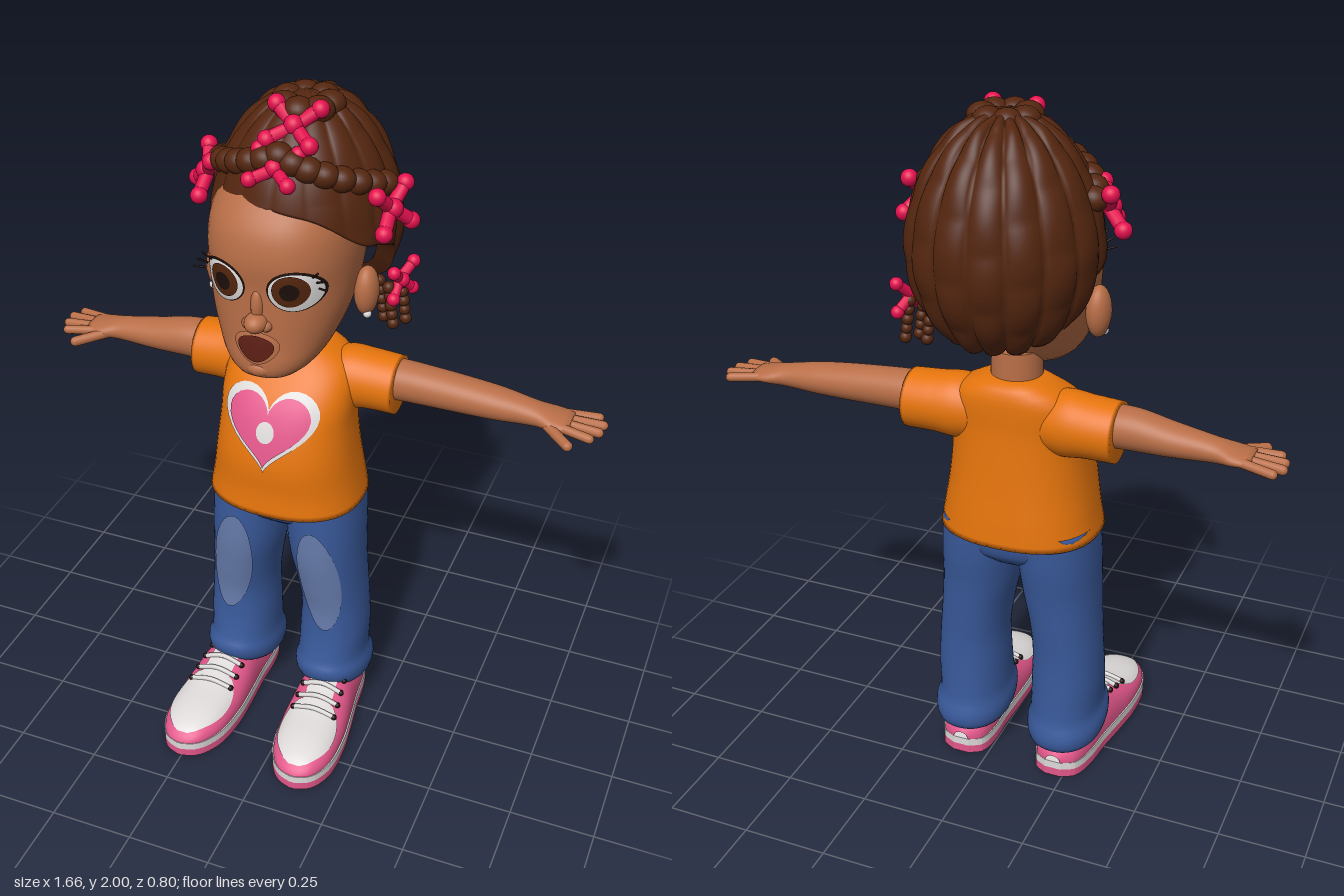
import * as THREE from 'three';
import { mergeVertices } from 'three/addons/utils/BufferGeometryUtils.js';

const paint = (name, color) => new THREE.MeshStandardMaterial({ name, color });

// Smooth interpolation of table rows keyed by their first column
function mix(rows, t) {
  const n = rows.length;
  let i = 0;
  while (i < n - 2 && t > rows[i + 1][0]) i++;
  const a = rows[i], b = rows[i + 1], h = b[0] - a[0];
  const u = Math.min(1, Math.max(0, (t - a[0]) / h));
  const p = rows[Math.max(0, i - 1)], q = rows[Math.min(n - 1, i + 2)];
  return a.map((_, k) => {
    const m0 = (b[k] - p[k]) / (b[0] - p[0]) * h, m1 = (q[k] - a[k]) / (q[0] - a[0]) * h;
    const u2 = u * u, u3 = u2 * u;
    return (2 * u3 - 3 * u2 + 1) * a[k] + (u3 - 2 * u2 + u) * m0 + (3 * u2 - 2 * u3) * b[k] + (u3 - u2) * m1;
  });
}

// Grid surface from fn(u, v); the outside is on the side of du x dv
function surface(fn, nu, nv) {
  const pos = [], index = [];
  for (let j = 0; j <= nv; j++) for (let i = 0; i <= nu; i++) pos.push(...fn(i / nu, j / nv));
  for (let j = 0; j < nv; j++) for (let i = 0; i < nu; i++) {
    const a = j * (nu + 1) + i, d = a + nu + 1;
    index.push(a, a + 1, d + 1, a, d + 1, d);
  }
  let g = new THREE.BufferGeometry();
  g.setAttribute('position', new THREE.Float32BufferAttribute(pos, 3));
  g.setIndex(index);
  g = mergeVertices(g, 1e-5);
  g.computeVertexNormals();
  return g;
}

const spow = (v, n) => Math.sign(v) * Math.abs(v) ** (2 / n);

// Capped stack of rounded sections, rows are [y, centreX, centreZ, radiusX, radiusZ]
function loft(rows, n = 2, steps = 30) {
  const y0 = rows[0][0], y1 = rows[rows.length - 1][0], nv = steps + 2;
  return surface((u, v) => {
    const j = Math.round(v * nv), k = j === 0 || j === nv ? 0 : 1;
    const f = Math.min(1, Math.max(0, (j - 1) / steps));
    const [y, cx, cz, rx, rz] = mix(rows, y0 + (y1 - y0) * f), t = u * Math.PI * 2;
    return [cx + k * rx * spow(Math.sin(t), n), y, cz + k * rz * spow(Math.cos(t), n)];
  }, 48, nv);
}
const frontZ = (rows, n, x, y) => {
  const [, cx, cz, rx, rz] = mix(rows, y);
  const t = Math.min(0.98, Math.abs(x - cx) / rx);
  return cz + rz * (1 - t ** n) ** (1 / n);
};

// Thin painted patch lying on the front of a loft
function patch(rows, n, cx, cy, outline, lift, bulge = 0) {
  return surface((u, v) => {
    const [ox, oy] = outline(u * Math.PI * 2), x = cx + ox * v, y = cy + oy * v;
    return [x, y, frontZ(rows, n, x, y) + lift + bulge * (1 - v * v)];
  }, 48, 10);
}
const oval = (a, b, lean = 0) => t => [a * Math.sin(t) + lean * Math.cos(t), b * Math.cos(t)];
const heart = k => t => [k * 0.0089 * 16 * Math.sin(t) ** 3,
  k * 0.0081 * (13 * Math.cos(t) - 5 * Math.cos(2 * t) - 2 * Math.cos(3 * t) - Math.cos(4 * t))];
const ball = (x, y, z, a, b = a, c = a) => new THREE.SphereGeometry(1, 20, 14).scale(a, b, c).translate(x, y, z);
function rod(p, q, r) {
  const a = new THREE.Vector3(...p), b = new THREE.Vector3(...q), d = b.clone().sub(a);
  const turn = new THREE.Quaternion().setFromUnitVectors(new THREE.Vector3(0, 1, 0), d.clone().normalize());
  const mid = a.add(b).multiplyScalar(0.5);
  return new THREE.CapsuleGeometry(r, d.length(), 5, 10).applyQuaternion(turn).translate(mid.x, mid.y, mid.z);
}

const torso = [[0.785, 0, -0.055, 0.232, 0.196], [0.85, 0, -0.055, 0.22, 0.19], [0.95, 0, -0.05, 0.205, 0.184],
  [1.05, 0, -0.057, 0.195, 0.168], [1.12, 0, -0.07, 0.195, 0.15], [1.18, 0, -0.092, 0.188, 0.128],
  [1.22, 0, -0.11, 0.165, 0.108], [1.25, 0, -0.12, 0.115, 0.088], [1.265, 0, -0.12, 0.08, 0.075]];
const leg = [[0.09, 0.15, -0.06, 0.1, 0.12], [0.11, 0.15, -0.058, 0.112, 0.145], [0.15, 0.15, -0.055, 0.115, 0.152],
  [0.19, 0.148, -0.055, 0.105, 0.138], [0.3, 0.15, -0.06, 0.104, 0.125], [0.4, 0.148, -0.062, 0.1, 0.122],
  [0.5, 0.138, -0.058, 0.102, 0.132], [0.6, 0.125, -0.055, 0.11, 0.142], [0.7, 0.118, -0.06, 0.114, 0.15],
  [0.82, 0.112, -0.065, 0.112, 0.152]];
const head = [[1.262, 0, 0.07, 0.05, 0.06], [1.275, 0, 0.06, 0.09, 0.108], [1.31, 0, 0.03, 0.13, 0.148],
  [1.37, 0, 0, 0.162, 0.172], [1.45, 0, -0.03, 0.188, 0.2], [1.53, 0, -0.05, 0.2, 0.22],
  [1.62, 0, -0.06, 0.205, 0.236], [1.7, 0, -0.07, 0.195, 0.225], [1.78, 0, -0.09, 0.16, 0.18], [1.86, 0, -0.1, 0.08, 0.1]];
// Shoe rows are [z, half width, top height]
const shoe = [[-0.187, 0.025, 0.07], [-0.165, 0.062, 0.1], [-0.1, 0.082, 0.13], [0, 0.088, 0.155], [0.06, 0.094, 0.165],
  [0.12, 0.1, 0.145], [0.2, 0.105, 0.122], [0.3, 0.097, 0.105], [0.36, 0.072, 0.086], [0.39, 0.042, 0.064], [0.402, 0.008, 0.046]];
const shoeX = z => 0.15 + 0.06 * (z + 0.187);
const shoePoint = (a, z, lift = 0) => {
  const [, w, h] = mix(shoe, z);
  return [shoeX(z) + w * 0.96 * Math.cos(a), 0.042 + (h - 0.042) * Math.max(0, Math.sin(a)) ** 0.7 + lift, z];
};
// Hairline: angle from the front against angle down from the crown
const hairline = [[0, 1.27], [0.5, 1.36], [0.95, 1.58], [1.3, 1.68], [1.57, 1.8], [1.8, 2.12], [2.1, 2.4], [3.15, 2.56]];
function hairPoint(t, f, k = 1) {
  const c = Math.cos(f), s = Math.sin(f);
  return [0.022 + k * 0.262 * (1 - 0.09 * Math.max(0, c)) * s * Math.sin(t),
    1.64 + k * (c > 0 ? 0.35 : 0.315) * c, -0.13 + k * 0.268 * s * Math.cos(t)];
}

export function createModel() {
  const skin = paint('skin', 0xb86e47), brown = paint('hair brown', 0x54260f), orange = paint('shirt orange', 0xe5740c);
  const denim = paint('denim blue', 0x39599a), faded = paint('faded denim', 0x667bab), pink = paint('pink', 0xe2578a);
  const white = paint('white', 0xdedada), magenta = paint('bow magenta', 0xe4104f);
  const dark = paint('dark', 0x1c0f0a), red = paint('mouth red', 0x5c1e14);
  const model = new THREE.Group(), body = new THREE.Group();
  body.name = 'body';
  body.position.x = -0.07;
  model.add(body);
  function add(name, geo, mat, s = 1) {
    if (s < 0) {
      geo.scale(-1, 1, 1);
      const ix = geo.index.array;
      for (let i = 0; i < ix.length; i += 3) [ix[i], ix[i + 1]] = [ix[i + 1], ix[i]];
    }
    const mesh = new THREE.Mesh(geo, mat);
    mesh.name = name;
    body.add(mesh);
    return mesh;
  }

  // Shirt with heart
  add('shirt', loft(torso, 2.4), orange);
  add('heartBorder', patch(torso, 2.4, -0.005, 1.073, heart(1), 0.004), white);
  add('heart', patch(torso, 2.4, -0.005, 1.071, heart(0.86), 0.008), pink);
  add('heartDot', patch(torso, 2.4, -0.005, 1.06, oval(0.027, 0.03), 0.011), white);

  // Head and face
  add('neck', new THREE.CylinderGeometry(0.07, 0.074, 0.16, 32).translate(0, 1.26, -0.105), skin);
  add('head', loft(head, 2.3, 40), skin);
  add('nose', ball(0, 1.445, 0.172, 0.032, 0.028, 0.04), skin);
  add('noseBridge', ball(0, 1.49, 0.155, 0.02, 0.055, 0.028), skin);
  add('chin', ball(0, 1.3, 0.135, 0.05, 0.032, 0.05), skin);
  const mouth = k => t => [k * 0.05 * Math.sin(t) * (1 + 0.25 * Math.cos(t)), k * 0.038 * Math.cos(t)];
  add('lips', patch(head, 2.3, 0, 1.37, mouth(1.25), 0.004, 0.006), skin);
  add('mouth', patch(head, 2.3, 0, 1.37, mouth(1), 0.01, 0.003), red);

  for (const s of [1, -1]) {
    // Eyes, lashes and ears
    add('eyeRim', patch(head, 2.3, 0.1, 1.545, oval(0.07, 0.059), 0.003, 0.006), dark, s);
    add('eyeWhite', patch(head, 2.3, 0.1, 1.543, oval(0.065, 0.054), 0.005, 0.009), white, s);
    add('iris', patch(head, 2.3, 0.093, 1.55, oval(0.046, 0.046), 0.012, 0.005), brown, s);
    add('pupil', patch(head, 2.3, 0.093, 1.55, oval(0.024, 0.025), 0.018), dark, s);
    for (const a of [0.2, 0.5, 0.8]) {
      const c = Math.cos(a), n = Math.sin(a);
      add('eyelash', rod([0.1 + 0.062 * c, 1.545 + 0.055 * n, 0.13], [0.1 + 0.088 * c, 1.545 + 0.085 * n, 0.145], 0.003), dark, s);
    }
    add('nostril', ball(0.025, 1.437, 0.165, 0.018, 0.017, 0.022), skin, s);
    add('ear', ball(0.218, 1.46, -0.075, 0.034, 0.072, 0.045), skin, s);
    add('earring', ball(0.228, 1.4, -0.055, 0.012), white, s);

    // Sleeve, arm and hand; the left arm is longer
    const toX = g => g.rotateZ(-Math.PI / 2), w = s > 0 ? 0.7 : 0.57;
    add('sleeve', toX(loft([[0.05, -1.14, -0.11, 0.07, 0.08], [0.15, -1.148, -0.125, 0.094, 0.09],
      [0.22, -1.15, -0.13, 0.088, 0.088], [0.305, -1.147, -0.13, 0.085, 0.086]])), orange, s);
    add('arm', toX(loft([[0.25, -1.165, -0.13, 0.06, 0.062], [0.35, -1.165, -0.13, 0.058, 0.06],
      [w - 0.12, -1.155, -0.13, 0.047, 0.054], [w, -1.147, -0.13, 0.033, 0.044],
      [w + 0.05, -1.143, -0.13, 0.024, 0.056], [w + 0.1, -1.14, -0.13, 0.016, 0.052]])), skin, s);
    for (const [tip, z0, z1] of [[0.165, -0.168, -0.19], [0.184, -0.143, -0.155], [0.18, -0.117, -0.115], [0.162, -0.093, -0.076]])
      add('finger', rod([w + 0.07, 1.142, z0], [w + tip - 0.003, 1.135, z1], 0.0135), skin, s);
    add('thumb', rod([w + 0.03, 1.14, -0.1], [w + 0.11, 1.128, -0.032], 0.015), skin, s);

    // Trouser leg with a hem that dips at the back, and a faded knee
    const trouser = loft(leg, 2.2, 44), p = trouser.attributes.position;
    for (let i = 0; i < p.count; i++) {
      const k = Math.max(0, Math.min(1, (0.3 - p.getY(i)) / 0.15));
      p.setY(i, p.getY(i) + k * (0.012 + 0.15 * (p.getZ(i) + 0.06)));
    }
    trouser.computeVertexNormals();
    add('trouserLeg', trouser, denim, s);
    add('fadedKnee', patch(leg, 2.2, 0.14, 0.53, oval(0.064, 0.19, -0.018), 0.004), faded, s);

    // Shoe: sole layers follow the outline of the upper
    const edge = [];
    for (let i = 0; i <= 40; i++) edge.push(-0.187 + 0.589 * (1 - Math.cos(i / 40 * Math.PI)) / 2);
    const side = m => edge.map(z => new THREE.Vector2(shoeX(z) + m * mix(shoe, z)[1], -z));
    const outline = new THREE.Shape([...side(1), ...side(-1).reverse()]);
    const layer = (y, depth) => {
      const g = new THREE.ExtrudeGeometry(outline, { depth, bevelEnabled: false }).rotateX(-Math.PI / 2).translate(0, y, 0);
      return mergeVertices(g);
    };
    add('sole', layer(0, 0.026), pink, s);
    add('midsole', layer(0.026, 0.024), white, s);
    add('shoeUpper', surface((u, v) => shoePoint(u * Math.PI, -0.187 + 0.589 * (1 - Math.cos(v * Math.PI)) / 2), 28, 44), pink, s);
    add('toeCap', surface((u, v) => shoePoint(Math.PI / 2 + (u - 0.5) * (0.6 + 1.6 * Math.sin(v * Math.PI) ** 0.5),
      0.15 + 0.23 * v, 0.005), 16, 20), white, s);
    add('tongue', surface((u, v) => shoePoint(Math.PI / 2 + (u - 0.5) * 0.95, 0.02 + 0.15 * v, 0.004), 10, 12), white, s);
    for (let i = 0; i < 4; i++) {
      const z = 0.06 + i * 0.043, ends = [0.85, 1.57, 2.29].map(a => new THREE.Vector3(...shoePoint(a, z, 0.008)));
      add('lace', new THREE.TubeGeometry(new THREE.CatmullRomCurve3(ends), 8, 0.008, 6), white, s);
      for (const e of [ends[0], ends[2]]) add('eyelet', ball(e.x, e.y, e.z, 0.009), dark, s);
    }
  }
  // Seat of the trousers
  add('trouserSeat', loft([[0.69, 0, -0.065, 0.12, 0.1], [0.73, 0, -0.065, 0.2, 0.14], [0.82, 0, -0.062, 0.222, 0.158]], 2.4, 12), denim);

  // Braided hair: rows of beads running down from the crown, rim tucked in
  add('hair', surface((u, v) => {
    const t = (u * 2 - 1) * Math.PI, tuck = v < 0.03 ? 0.8 : 1;
    const f = mix(hairline, Math.abs(t))[1] * (1 - Math.max(0, (v - 0.03) / 0.97));
    const back = 0.25 + 0.75 * (1 - Math.cos(t)) / 2, row = Math.floor(u * 16);
    const bead = Math.abs(Math.sin(u * 16 * Math.PI)) ** 0.6 * (0.6 + 0.4 * Math.abs(Math.sin(f * 6.5 + row * 1.57)));
    return hairPoint(t, f, tuck * (0.965 + 0.065 * bead * back * Math.min(1, f * 2) + 0.015 * (1 - back)));
  }, 192, 72), brown);
  for (let i = 0; i <= 14; i++) {
    const a = (i / 14 - 0.5) * 2.9;
    add('crownBraid', ball(...hairPoint(a, 0.82 + 0.25 * Math.abs(a), 0.97), 0.04, 0.034, 0.036), brown);
  }
  for (let i = 0; i < 7; i++) {
    const a = i / 7 * Math.PI * 2;
    add('topKnot', ball(0.035 + 0.06 * Math.sin(a), 1.955, -0.1 + 0.06 * Math.cos(a), 0.042, 0.036, 0.042), brown);
  }
  // Small loose braids behind the left ear
  for (const [x, z] of [[0.225, -0.16], [0.262, -0.13], [0.285, -0.17]])
    for (let i = 0; i < 5; i++) add('looseBraid', ball(x + 0.004 * i, 1.45 - i * 0.027, z, 0.017 - 0.001 * (i % 2)), brown);

  // Four-lobed hair bows
  const bow = (x, y, z, rx, ry, size) => {
    const g = new THREE.Group();
    g.name = 'hairBow';
    for (const a of [0.7, 2.45, 3.85, 5.55]) {
      const c = Math.cos(a) * size, n = Math.sin(a) * size;
      const lobe = new THREE.Mesh(rod([c * 0.15, n * 0.15, 0], [c * 0.8, n * 0.8, 0.01], size * 0.2), magenta);
      const tip = new THREE.Mesh(ball(c * 0.82, n * 0.82, 0.01, size * 0.25), magenta);
      lobe.name = 'bowLobe';
      tip.name = 'bowTip';
      g.add(lobe, tip);
    }
    const knot = new THREE.Mesh(ball(0, 0, 0.006, size * 0.28), magenta);
    knot.name = 'bowKnot';
    g.add(knot);
    g.position.set(x, y, z);
    g.rotation.set(rx, ry, 0, 'YXZ');
    body.add(g);
  };
  bow(0.04, 1.93, 0.0, -0.8, 0, 0.095);
  bow(0.02, 1.845, 0.085, -0.9, 0, 0.085);
  bow(0.285, 1.72, -0.06, -0.25, 1.25, 0.095);
  bow(-0.235, 1.74, -0.06, -0.35, -1.1, 0.095);
  bow(0.285, 1.465, -0.16, 0, 1.3, 0.075);
  return model;
}
